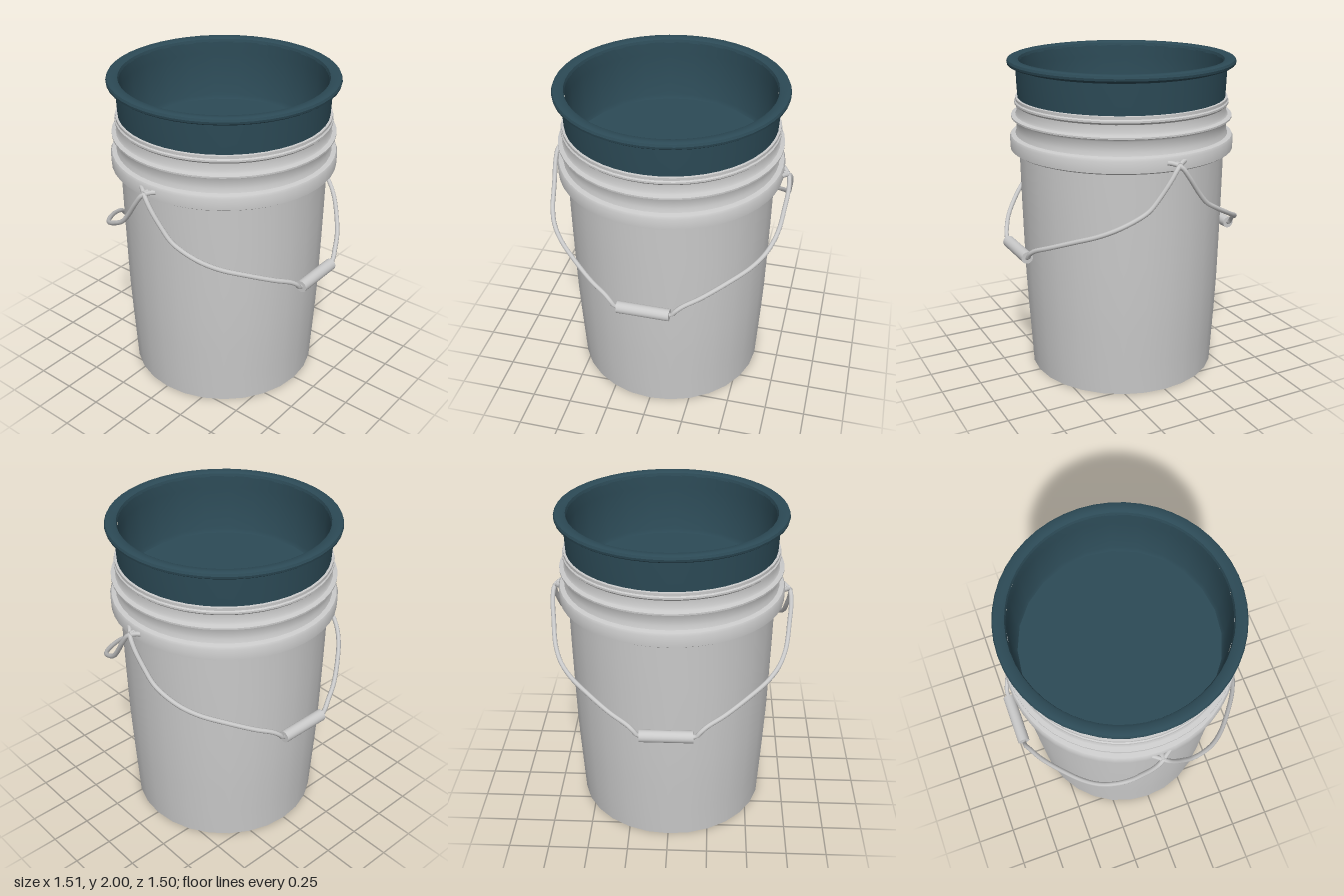
import * as THREE from 'three';
import { toCreasedNormals } from 'three/addons/utils/BufferGeometryUtils.js';

export function createModel() {
  const group = new THREE.Group();
  const plastic = new THREE.MeshStandardMaterial({ color: 0xcacaca });
  plastic.name = 'light grey plastic';
  const teal = new THREE.MeshStandardMaterial({ color: 0x2c4a56 });
  teal.name = 'dark teal plastic';

  const add = (name, geometry, material, parent = group) => {
    const mesh = new THREE.Mesh(geometry, material);
    mesh.name = name;
    parent.add(mesh);
    return mesh;
  };
  // Profiles run up the outside, so faces point outwards
  const lathe = (points, sides) => toCreasedNormals(
    new THREE.LatheGeometry(points.map(([r, y]) => new THREE.Vector2(r, y)), sides), 0.6);

  // Tapered wall with closed base
  add('bucketBody', lathe([
    [0, 0], [0.595, 0], [0.606, 0.2], [0.617, 0.4], [0.626, 0.6],
    [0.632, 0.85], [0.637, 1.1], [0.642, 1.45],
  ], 28), plastic);

  // Thick collar, two thin flanges and the top lip
  add('bucketCollar', lathe([
    [0.638, 1.44], [0.68, 1.437], [0.694, 1.446], [0.696, 1.515], [0.688, 1.53],
    [0.66, 1.537], [0.652, 1.56], [0.652, 1.62], [0.66, 1.632], [0.684, 1.64],
    [0.684, 1.65], [0.658, 1.657], [0.65, 1.67], [0.65, 1.715], [0.662, 1.727],
    [0.662, 1.738], [0.655, 1.745], [0.655, 1.762], [0.63, 1.765],
  ], 48), plastic);

  // Nested inner bucket: outer wall and rolled rim
  add('innerBucketRim', lathe([
    [0.64, 1.74], [0.644, 1.82], [0.648, 1.945], [0.658, 1.955], [0.685, 1.957],
    [0.697, 1.966], [0.7, 1.98], [0.694, 1.994], [0.68, 2], [0.645, 1.998],
    [0.63, 1.99], [0.624, 1.97],
  ], 48), teal);
  // Inside wall and floor
  add('innerBucketInterior', lathe([
    [0.627, 1.975], [0.622, 1.9], [0.614, 1.61], [0.6, 1.585], [0, 1.58],
  ], 24), teal);

  // Half of a wire handle, from the hook at the collar to the grip
  const halfPath = [
    [-0.055, 1.495, 0.685], [-0.025, 1.49, 0.705], [0.012, 1.47, 0.73],
    [0.06, 1.405, 0.737], [0.13, 1.305, 0.727], [0.19, 1.235, 0.718],
    [0.26, 1.19, 0.702], [0.36, 1.135, 0.66], [0.45, 1.085, 0.59],
    [0.55, 1.03, 0.475], [0.65, 0.965, 0.335], [0.7, 0.92, 0.235],
    [0.717, 0.89, 0.197], [0.718, 0.862, 0.175], [0.718, 0.857, 0.14],
  ];
  for (const side of [1, -1]) {
    const handle = new THREE.Group();
    handle.name = side > 0 ? 'leftHandle' : 'rightHandle';
    group.add(handle);
    for (const end of [1, -1]) {
      const curve = new THREE.CatmullRomCurve3(
        halfPath.map(([x, y, z]) => new THREE.Vector3(x * side, y, z * end)));
      add(end > 0 ? 'frontWire' : 'backWire',
        new THREE.TubeGeometry(curve, 56, 0.0145, 8), plastic, handle);
    }
    // Roller grip
    const grip = add('grip', new THREE.CylinderGeometry(0.037, 0.037, 0.322, 20), plastic, handle);
    grip.rotation.x = Math.PI / 2;
    grip.position.set(0.718 * side, 0.857, -0.003);
  }

  // Small bosses holding the hooks on the collar
  for (const end of [1, -1]) {
    const boss = add(end > 0 ? 'frontBoss' : 'backBoss',
      new THREE.CylinderGeometry(0.018, 0.018, 0.05, 12), plastic);
    boss.rotation.x = Math.PI / 2;
    boss.position.set(0, 1.482, 0.703 * end);
  }
  return group;
}
